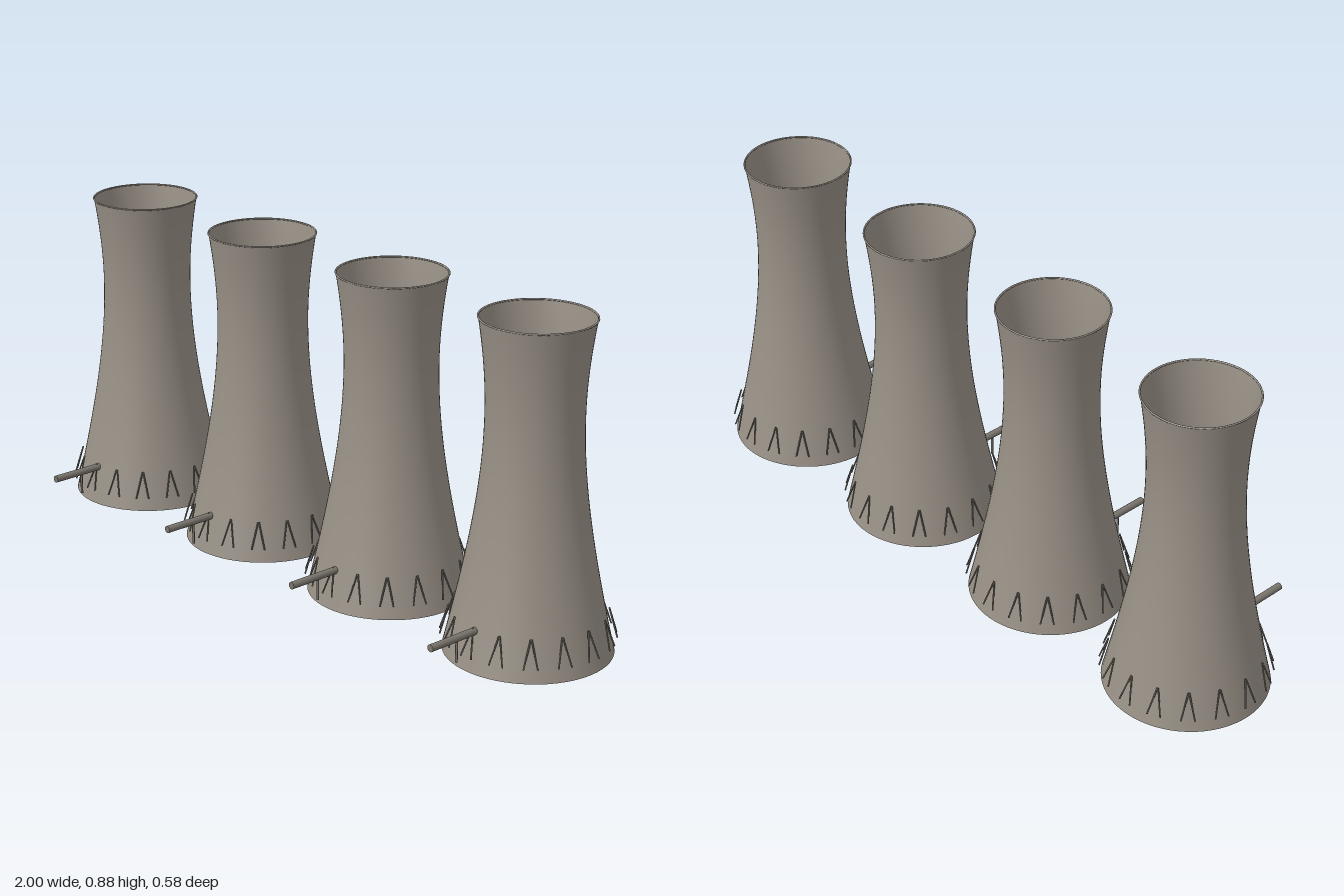
import * as THREE from 'three';

const concrete = new THREE.MeshStandardMaterial({ color: 0x989086, side: THREE.DoubleSide });
concrete.name = 'concrete';
const steel = new THREE.MeshStandardMaterial({ color: 0x7b766e });
steel.name = 'steel';

const HEIGHT = 0.882;
const THROAT_Y = 0.635;
const THROAT_R = 0.125;

// Hyperbolic wall radius, flaring to the base and slightly to the top
function wallRadius(y) {
  const end = y < THROAT_Y ? [0, 0.22] : [HEIGHT, 0.147];
  const t = (y - THROAT_Y) / (end[0] - THROAT_Y);
  return Math.sqrt(THROAT_R ** 2 + (end[1] ** 2 - THROAT_R ** 2) * t * t);
}

// Round bar between two points
function bar(name, a, b, radius, sides, material) {
  const dir = new THREE.Vector3().subVectors(b, a);
  const mesh = new THREE.Mesh(new THREE.CylinderGeometry(radius, radius, dir.length(), sides), material);
  mesh.name = name;
  mesh.position.addVectors(a, b).multiplyScalar(0.5);
  mesh.quaternion.setFromUnitVectors(new THREE.Vector3(0, 1, 0), dir.normalize());
  return mesh;
}

function createTower() {
  const tower = new THREE.Group();
  tower.name = 'coolingTower';

  // Open shell
  const profile = [];
  for (let i = 0; i <= 32; i++) {
    const y = (HEIGHT * i) / 32;
    profile.push(new THREE.Vector2(wallRadius(y), y));
  }
  const shell = new THREE.Mesh(new THREE.LatheGeometry(profile, 64), concrete);
  shell.name = 'shell';
  tower.add(shell);

  // Thin lip around the mouth
  const rim = new THREE.Mesh(new THREE.TorusGeometry(0.147, 0.0025, 8, 64), concrete);
  rim.name = 'rim';
  rim.rotation.x = Math.PI / 2;
  rim.position.y = HEIGHT;
  tower.add(rim);

  // Ring of V-shaped struts
  const count = 16;
  for (let i = 0; i < count; i++) {
    const strut = new THREE.Group();
    strut.name = 'vStrut';
    strut.rotation.y = (i / count) * Math.PI * 2;
    for (const side of [-1, 1]) {
      const foot = new THREE.Vector3(side * 0.018, 0.04, 0.225);
      const apex = new THREE.Vector3(side * 0.001, 0.114, 0.203);
      strut.add(bar('strutLeg', foot, apex, 0.0022, 8, steel));
    }
    tower.add(strut);
  }

  // Water pipe through the front wall, with its post
  tower.add(bar('inletPipe', new THREE.Vector3(0, 0.104, 0.09), new THREE.Vector3(0, 0.104, 0.35), 0.01, 16, steel));
  tower.add(bar('pipePost', new THREE.Vector3(0, 0.038, 0.258), new THREE.Vector3(0, 0.1, 0.258), 0.0035, 8, steel));
  return tower;
}

export function createModel() {
  const model = new THREE.Group();
  model.name = 'coolingTowers';
  // Four towers in a row
  for (let i = 0; i < 4; i++) {
    const tower = createTower();
    tower.position.set((i - 1.5) * 0.514, 0, -0.06);
    model.add(tower);
  }
  return model;
}
